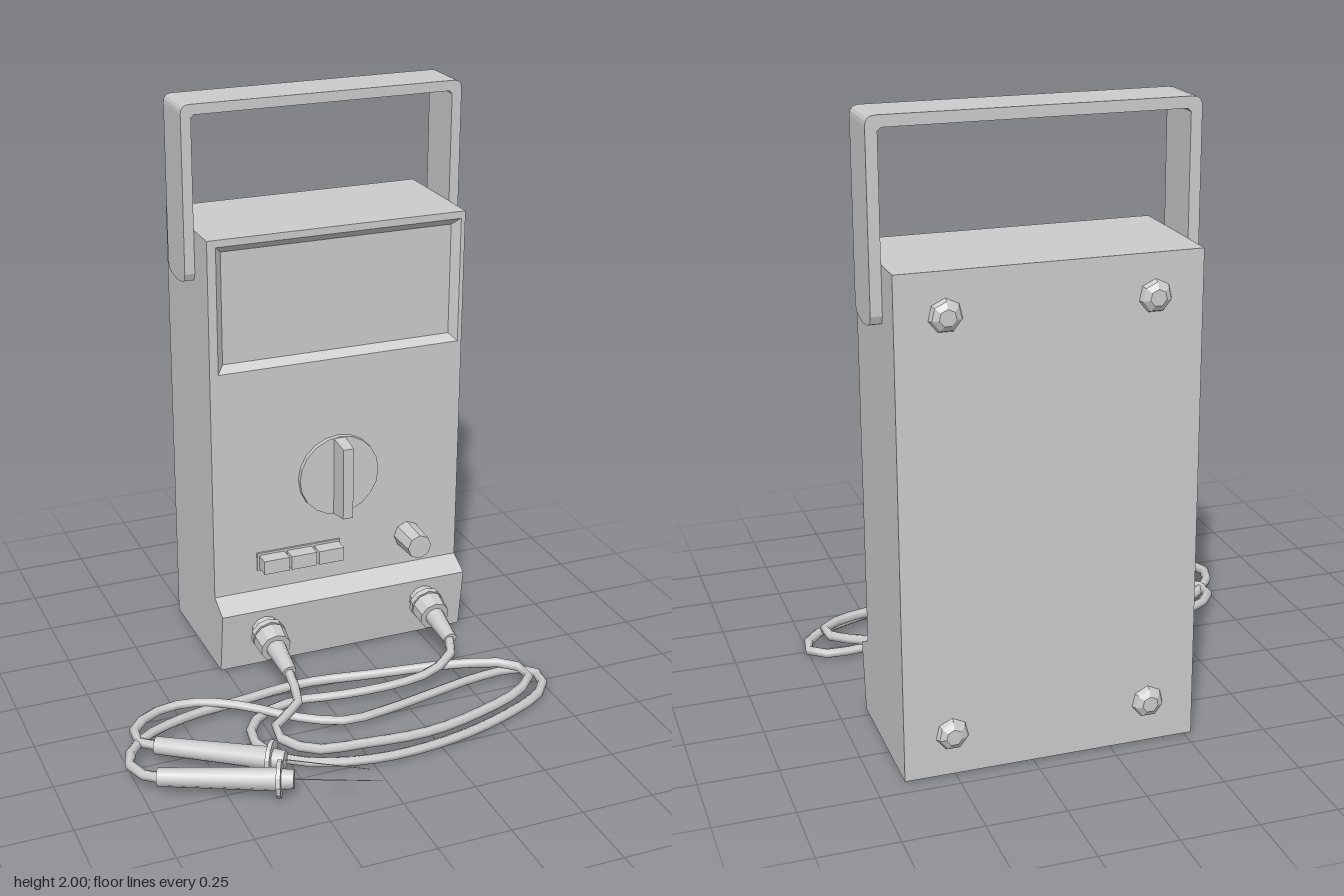
import * as THREE from 'three';

const flat = new THREE.MeshStandardMaterial({ color: 0xcccccc, flatShading: true });
const smooth = new THREE.MeshStandardMaterial({ color: 0xcccccc });
const CX = 0.195, FRONT = -0.27, BACK = -0.7;

export function createModel() {
  const root = new THREE.Group();

  function add(name, geo, mat = flat, parent = root) {
    const m = new THREE.Mesh(geo, mat);
    m.name = name;
    parent.add(m);
    return m;
  }
  function box(name, x0, x1, y0, y1, z0, z1) {
    const g = new THREE.BoxGeometry(x1 - x0, y1 - y0, z1 - z0);
    return add(name, g.translate((x0 + x1) / 2, (y0 + y1) / 2, (z0 + z1) / 2));
  }
  // tapered cylinder between two points
  function rod(name, a, b, ra, rb, sides, parent, mat = smooth) {
    const d = b.clone().sub(a);
    const m = add(name, new THREE.CylinderGeometry(rb, ra, d.length(), sides), mat, parent);
    m.position.copy(a).addScaledVector(d, 0.5);
    m.quaternion.setFromUnitVectors(new THREE.Vector3(0, 1, 0), d.normalize());
    return m;
  }
  // side outline given as [z, y] pairs, extruded from x0 to x1
  function sideExtrude(name, outline, x0, x1) {
    const s = new THREE.Shape(outline.map(([z, y]) => new THREE.Vector2(-z, y)));
    const g = new THREE.ExtrudeGeometry(s, { depth: x1 - x0, bevelEnabled: false });
    return add(name, g.rotateY(Math.PI / 2).translate(x0, 0, 0));
  }
  const rect = (x0, x1, y0, y1) => [[x0, y0], [x1, y0], [x1, y1], [x0, y1]];
  const V = (x, y, z) => new THREE.Vector3(x, y, z);

  // Case with the projecting socket ledge at the bottom
  const recess = FRONT - 0.03;
  sideExtrude('case', [[BACK, 0.01], [-0.22, 0.01], [-0.19, 0.235], [FRONT, 0.275],
    [recess, 0.275], [recess, 1.58], [BACK, 1.58]], -0.27, 0.66);

  // Front panel with the window opening
  const outer = rect(-0.24, 0.645, 1.11, 1.555), inner = rect(-0.215, 0.62, 1.135, 1.53);
  const panel = new THREE.Shape(rect(-0.27, 0.66, 0.275, 1.58).map(p => new THREE.Vector2(...p)));
  panel.holes.push(new THREE.Path(outer.map(p => new THREE.Vector2(...p)).reverse()));
  add('frontPanel', new THREE.ExtrudeGeometry(panel, { depth: 0.03, bevelEnabled: false })
    .translate(0, 0, recess));

  // Sloped frame leading down to the display
  const pos = [];
  for (let i = 0; i < 4; i++) {
    const j = (i + 1) % 4;
    const a = [...outer[i], FRONT], b = [...outer[j], FRONT];
    const c = [...inner[j], recess + 0.004], d = [...inner[i], recess + 0.004];
    pos.push(...a, ...b, ...c, ...a, ...c, ...d);
  }
  const frame = new THREE.BufferGeometry();
  frame.setAttribute('position', new THREE.Float32BufferAttribute(pos, 3));
  frame.computeVertexNormals();
  add('displayFrame', frame);
  box('displayWindow', -0.22, 0.625, 1.13, 1.535, recess - 0.01, recess + 0.004);

  // Carrying handle: rounded arch and two legs with rounded ends
  const hx = 0.5, t = 0.035, r = 0.03;
  const arch = new THREE.Shape();
  arch.moveTo(-hx, 1.93).lineTo(-hx + t, 1.93).lineTo(-hx + t, 1.955).lineTo(-hx + t + 0.01, 1.965)
    .lineTo(hx - t - 0.01, 1.965).lineTo(hx - t, 1.955).lineTo(hx - t, 1.93).lineTo(hx, 1.93)
    .lineTo(hx, 2 - r).quadraticCurveTo(hx, 2, hx - r, 2)
    .lineTo(-hx + r, 2).quadraticCurveTo(-hx, 2, -hx, 2 - r);
  add('handleArch', new THREE.ExtrudeGeometry(arch, { depth: 0.18, bevelEnabled: false, curveSegments: 4 })
    .translate(CX, 0, -0.58));
  for (const x0 of [CX - hx, CX + hx - t]) {
    sideExtrude('handleLeg', [[-0.58, 1.43], [-0.57, 1.405], [-0.54, 1.395], [-0.49, 1.388],
      [-0.44, 1.395], [-0.41, 1.405], [-0.4, 1.43], [-0.4, 1.93], [-0.58, 1.93]], x0, x0 + t);
  }

  // Selector dial: thin disc and tapered grip bar
  rod('dialDisc', V(CX, 0.675, FRONT - 0.01), V(CX, 0.675, -0.255), 0.15, 0.148, 20, root, flat);
  const grip = new THREE.BoxGeometry(0.044, 0.29, 0.09);
  const gp = grip.attributes.position;
  for (let i = 0; i < gp.count; i++) {
    if (gp.getZ(i) > 0) gp.setXY(i, gp.getX(i) * 0.85, gp.getY(i) * 0.91);
  }
  add('dialGrip', grip.translate(CX, 0.675, -0.22));

  // Push buttons on a thin base, and the small knob
  box('buttonBase', -0.112, 0.202, 0.355, 0.422, FRONT - 0.01, FRONT + 0.008);
  for (let i = 0; i < 3; i++) {
    const x = -0.105 + i * 0.103;
    box('pushButton', x, x + 0.094, 0.363, 0.414, FRONT - 0.01, -0.21);
  }
  rod('smallKnob', V(0.465, 0.39, FRONT - 0.01), V(0.465, 0.39, -0.155), 0.05, 0.045, 8, root, flat);

  // Test plugs standing in the ledge sockets
  for (const x of [-0.11, 0.5]) {
    const plug = new THREE.Group();
    plug.name = 'testPlug';
    root.add(plug);
    const at = s => V(x, 0.162 - 0.2 * (s + 0.22), s);
    rod('socketRing', at(-0.23), at(-0.18), 0.05, 0.05, 10, plug, flat);
    rod('plugNeck', at(-0.18), at(-0.155), 0.04, 0.04, 10, plug, flat);
    rod('plugFlange', at(-0.175), at(-0.155), 0.062, 0.062, 10, plug, flat);
    rod('plugCollar', at(-0.15), at(-0.09), 0.06, 0.055, 10, plug, flat);
    rod('plugSleeve', at(-0.1), at(0.04), 0.036, 0.025, 10, plug);
  }

  // Two looped cables lying on the ground, as [x, y, z]
  const cables = [
    [[-0.11, 0.11, 0.03], [-0.115, 0.09, 0.1], [-0.125, 0.07, 0.16], [-0.2, 0.055, 0.22], [-0.255, 0.05, 0.27],
      [-0.245, 0.045, 0.33], [-0.17, 0.04, 0.41], [0, 0.04, 0.44], [0.22, 0.04, 0.455], [0.42, 0.045, 0.42],
      [0.62, 0.055, 0.35], [0.69, 0.06, 0.27], [0.65, 0.065, 0.2], [0.5, 0.06, 0.13], [0.2, 0.04, 0.05],
      [-0.05, 0.03, 0], [-0.3, 0.03, 0.03], [-0.5, 0.045, 0.08], [-0.68, 0.055, 0.17], [-0.76, 0.06, 0.29],
      [-0.74, 0.06, 0.37], [-0.68, 0.06, 0.42]],
    [[0.5, 0.11, 0.03], [0.48, 0.09, 0.09], [0.4, 0.06, 0.13], [0.27, 0.045, 0.145], [0.05, 0.03, 0.12],
      [-0.1, 0.025, 0.09], [-0.23, 0.025, 0.12], [-0.31, 0.025, 0.2], [-0.32, 0.025, 0.32], [-0.24, 0.02, 0.42],
      [-0.1, 0.02, 0.485], [0.08, 0.02, 0.513], [0.32, 0.02, 0.49], [0.55, 0.02, 0.42], [0.7, 0.02, 0.34],
      [0.755, 0.02, 0.24], [0.7, 0.022, 0.18], [0.55, 0.025, 0.18], [0.35, 0.03, 0.225], [0.15, 0.03, 0.265],
      [0, 0.03, 0.275], [-0.15, 0.035, 0.2], [-0.3, 0.05, 0.09], [-0.45, 0.06, 0.025], [-0.58, 0.06, 0.03],
      [-0.68, 0.06, 0.1], [-0.7, 0.06, 0.18], [-0.64, 0.06, 0.235]],
  ];
  for (const pts of cables) {
    const curve = new THREE.CatmullRomCurve3(pts.map(p => V(...p)));
    add('cable', new THREE.TubeGeometry(curve, pts.length * 2, 0.017, 6), smooth);
  }

  // Probes: grip, finger guard, nose and hair-thin needle
  for (const [a, b] of [[V(-0.65, 0.062, 0.23), V(-0.07, 0.083, 0.645)],
    [V(-0.7, 0.062, 0.405), V(-0.06, 0.083, 0.718)]]) {
    const probe = new THREE.Group();
    probe.name = 'probe';
    root.add(probe);
    const at = f => a.clone().lerp(b, f);
    rod('probeGrip', at(0), at(0.54), 0.03, 0.038, 10, probe);
    rod('fingerGuard', at(0.535), at(0.555), 0.06, 0.06, 12, probe, flat);
    rod('probeNose', at(0.55), at(0.61), 0.034, 0.03, 10, probe);
    rod('needle', at(0.6), at(1), 0.002, 0.001, 5, probe);
  }

  // Domed screws in the back corners
  for (const x of [-0.12, 0.51]) for (const y of [0.145, 1.45]) {
    rod('backScrew', V(x, y, BACK + 0.005), V(x, y, -0.715), 0.054, 0.045, 7, root, flat);
    rod('backScrewDome', V(x, y, -0.715), V(x, y, -0.727), 0.045, 0.026, 7, root, flat);
  }

  return root;
}
